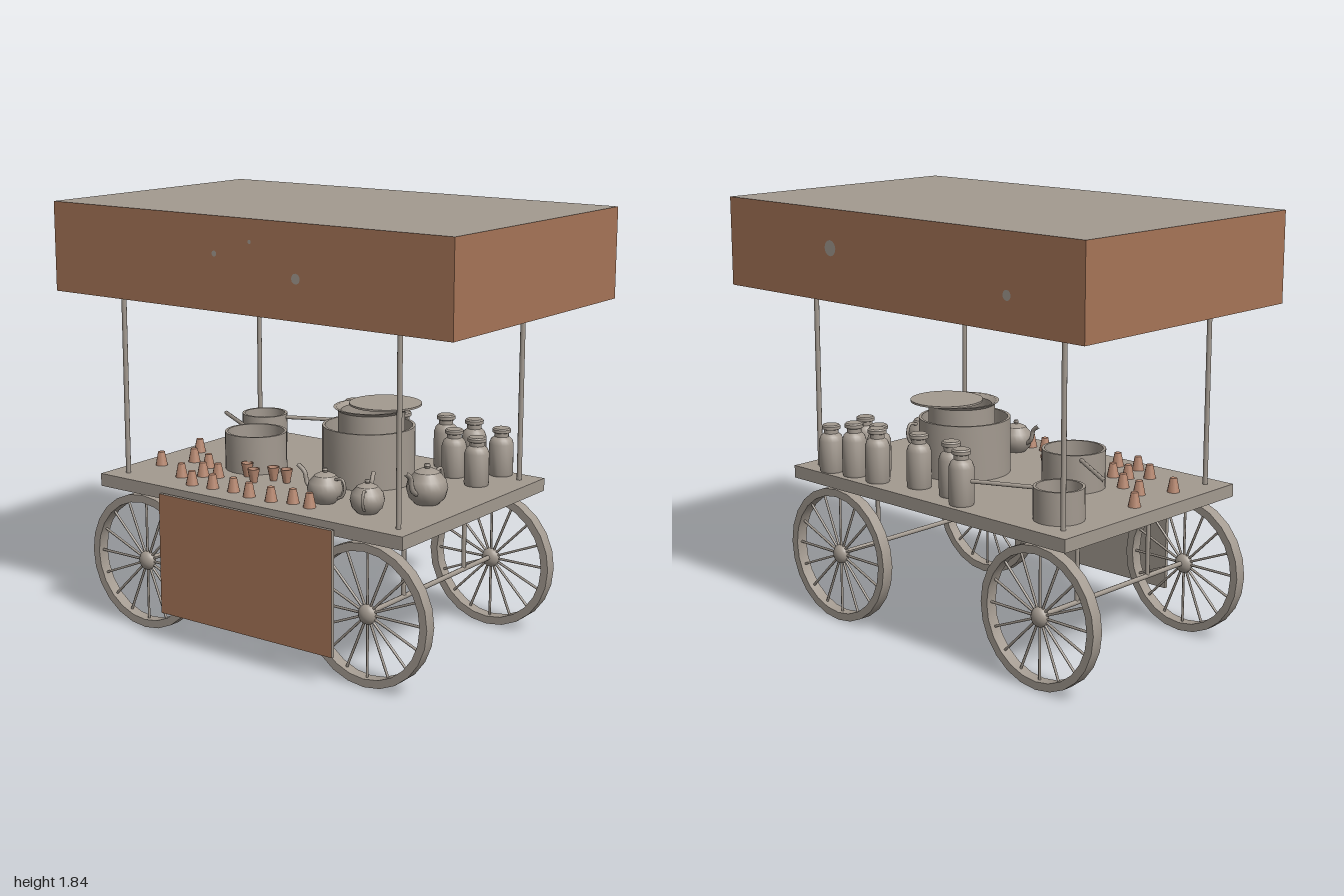
import * as THREE from 'three';
import { toCreasedNormals } from 'three/addons/utils/BufferGeometryUtils.js';

export function createModel() {
  const root = new THREE.Group();
  const material = (name, color) => {
    const m = new THREE.MeshStandardMaterial({ color });
    m.name = name;
    return m;
  };
  const grey = material('warmGrey', 0xa39a90);
  const brown = material('brownPanel', 0xa67457);
  const clay = material('clay', 0xb98a72);

  const add = (name, geometry, mat, x = 0, y = 0, z = 0, parent = root) => {
    const mesh = new THREE.Mesh(geometry, mat);
    mesh.name = name;
    mesh.position.set(x, y, z);
    parent.add(mesh);
    return mesh;
  };
  const lathe = (points, sides = 24) => toCreasedNormals(
    new THREE.LatheGeometry(points.map(([r, y]) => new THREE.Vector2(r, y)), sides), 0.6);
  const vec = (p) => new THREE.Vector3(...p);
  // Round bar between two points
  const bar = (name, a, b, r) => add(name,
    new THREE.TubeGeometry(new THREE.LineCurve3(vec(a), vec(b)), 1, r, 8), grey);

  const TOP = 0.675;

  // Canopy: brown sides and underside, grey top
  add('canopy', new THREE.BoxGeometry(2, 0.38, 1.23),
    [brown, brown, grey, brown, brown, brown], 0, 1.65, 0);
  // Small round worn spots on the canopy faces
  const spots = [[-0.12, 1.69, 1, 0.012], [0.06, 1.75, 1, 0.008], [0.285, 1.625, 1, 0.021],
    [0.36, 1.68, -1, 0.033], [-0.62, 1.6, -1, 0.021]];
  for (const [x, y, side, r] of spots) {
    const spot = add('canopySpot', new THREE.CircleGeometry(r, 12), grey, x, y, side * 0.617);
    if (side < 0) spot.rotation.y = Math.PI;
  }

  // Table, posts and front panel
  add('table', new THREE.BoxGeometry(1.575, 0.055, 1.072), grey, -0.033, 0.6475, 0.031);
  for (const x of [-0.735, 0.68]) for (const z of [0.485, -0.42]) {
    add('post', new THREE.CylinderGeometry(0.011, 0.011, 0.79, 10), grey, x, 1.067, z);
  }
  add('frontPanel', new THREE.BoxGeometry(0.903, 0.525, 0.016),
    [grey, grey, grey, grey, brown, grey], -0.011, 0.387, 0.586);

  // Wheels, axles and struts
  const rim = lathe([[0.264, -0.026], [0.298, -0.026], [0.298, 0.026], [0.264, 0.026], [0.264, -0.026]], 24);
  rim.rotateX(Math.PI / 2);
  const spoke = new THREE.CylinderGeometry(0.0055, 0.0055, 0.54, 6);
  const hub = new THREE.SphereGeometry(0.042, 16, 12);
  const wheel = (x, z) => {
    const g = new THREE.Group();
    g.name = 'wheel';
    g.position.set(x, 0.3, z);
    root.add(g);
    add('rim', rim, grey, 0, 0, 0, g);
    add('hub', hub, grey, 0, 0, 0, g).scale.z = 0.7;
    for (let i = 0; i < 8; i++) {
      add('spoke', spoke, grey, 0, 0, 0, g).rotation.z = (i * Math.PI) / 8;
    }
  };
  for (const x of [-0.63, 0.54]) {
    for (const z of [0.491, -0.434]) wheel(x, z);
    bar('axle', [x, 0.304, -0.45], [x, 0.304, 0.51], 0.011);
    for (const z of [0.24, -0.212]) bar('strut', [x, 0.3, z], [x, 0.63, z], 0.01);
  }

  // Open pots
  const pot = (name, x, z, r, h) => add(name,
    lathe([[0, 0], [r, 0], [r, h], [r - 0.012, h], [r - 0.012, 0.012], [0, 0.012]], 28),
    grey, x, TOP, z);
  pot('largePot', 0.16, -0.046, 0.198, 0.24);
  pot('saucepan', -0.35, 0.084, 0.135, 0.165);
  pot('saucepan', -0.622, -0.316, 0.104, 0.135);
  bar('panHandle', [-0.46, 0.82, 0.005], [-0.735, 0.82, -0.172], 0.009);
  bar('panHandle', [-0.527, 0.793, -0.355], [-0.283, 0.793, -0.462], 0.009);

  // Tall pot nested in the large one, with a flared lip and a shifted lid
  add('nestedPot', lathe([[0, 0.02], [0.143, 0.02], [0.143, 0.3], [0.162, 0.314],
    [0.15, 0.314], [0.13, 0.3], [0.13, 0.04], [0, 0.04]], 28), grey, 0.16, TOP, -0.065);
  add('potLid', new THREE.CylinderGeometry(0.155, 0.155, 0.008, 28), grey, 0.19, 0.996, -0.125);

  // Jars
  const jar = lathe([[0, 0], [0.05, 0], [0.053, 0.01], [0.053, 0.155], [0.045, 0.178], [0.031, 0.19],
    [0.031, 0.208], [0.04, 0.212], [0.04, 0.226], [0.034, 0.232], [0, 0.232]], 20);
  const tallJars = [[0.445, -0.43], [0.3, -0.43], [0.11, -0.37], [-0.08, -0.37], [-0.2, -0.433]];
  const shortJars = [[0.57, -0.45], [0.575, -0.245], [0.42, -0.31]];
  for (const [x, z] of tallJars) add('jar', jar, grey, x, TOP, z);
  for (const [x, z] of shortJars) add('jar', jar, grey, x, TOP, z).scale.y = 0.89;

  // Teapots: the spout points along local +x
  const potBody = lathe([[0, 0], [0.05, 0], [0.075, 0.025], [0.086, 0.065], [0.078, 0.1], [0.055, 0.125],
    [0.052, 0.131], [0.03, 0.142], [0.01, 0.146], [0.014, 0.156], [0.01, 0.165], [0, 0.167]], 24);
  const curve = (pts) => new THREE.CatmullRomCurve3(pts.map(vec));
  const spout = new THREE.TubeGeometry(curve([[0.07, 0.05, 0], [0.105, 0.075, 0],
    [0.122, 0.13, 0], [0.16, 0.158, 0]]), 12, 0.011, 8);
  const handle = new THREE.TubeGeometry(curve([[-0.06, 0.118, 0], [-0.1, 0.125, 0],
    [-0.116, 0.085, 0], [-0.1, 0.042, 0], [-0.075, 0.03, 0]]), 16, 0.007, 8);
  const teapot = (x, z, scale, turn) => {
    const g = new THREE.Group();
    g.name = 'teapot';
    g.position.set(x, TOP, z);
    g.scale.setScalar(scale);
    g.rotation.y = turn;
    root.add(g);
    add('teapotBody', potBody, grey, 0, 0, 0, g);
    const s = add('spout', spout, grey, 0, 0, 0, g);
    s.material = grey;
    add('teapotHandle', handle, grey, 0, 0, 0, g);
  };
  teapot(0.225, 0.35, 0.86, Math.PI);
  teapot(0.45, 0.37, 0.82, 2.0);
  teapot(0.565, 0.115, 1, -Math.PI / 2);

  // Clay cups: most upside down, a few upright and open
  const cupDown = lathe([[0, 0], [0.027, 0], [0.015, 0.06], [0, 0.06]], 12);
  const cupUp = lathe([[0, 0], [0.015, 0], [0.027, 0.06], [0.023, 0.06], [0.012, 0.006], [0, 0.006]], 12);
  const downCups = [[-0.71, 0.3], [-0.73, 0.02], [-0.633, 0.17], [-0.515, 0.21], [-0.505, 0.4],
    [-0.44, 0.335], [-0.385, 0.47], [-0.377, 0.31], [-0.28, 0.46], [-0.175, 0.45], [-0.075, 0.47],
    [0.04, 0.47], [0.13, 0.44], [0.222, 0.45]];
  const upCups = [[-0.285, 0.226], [-0.2, 0.287], [-0.152, 0.213], [-0.085, 0.208]];
  for (const [x, z] of downCups) add('cup', cupDown, clay, x, TOP, z);
  for (const [x, z] of upCups) add('cup', cupUp, clay, x, TOP, z);

  return root;
}
